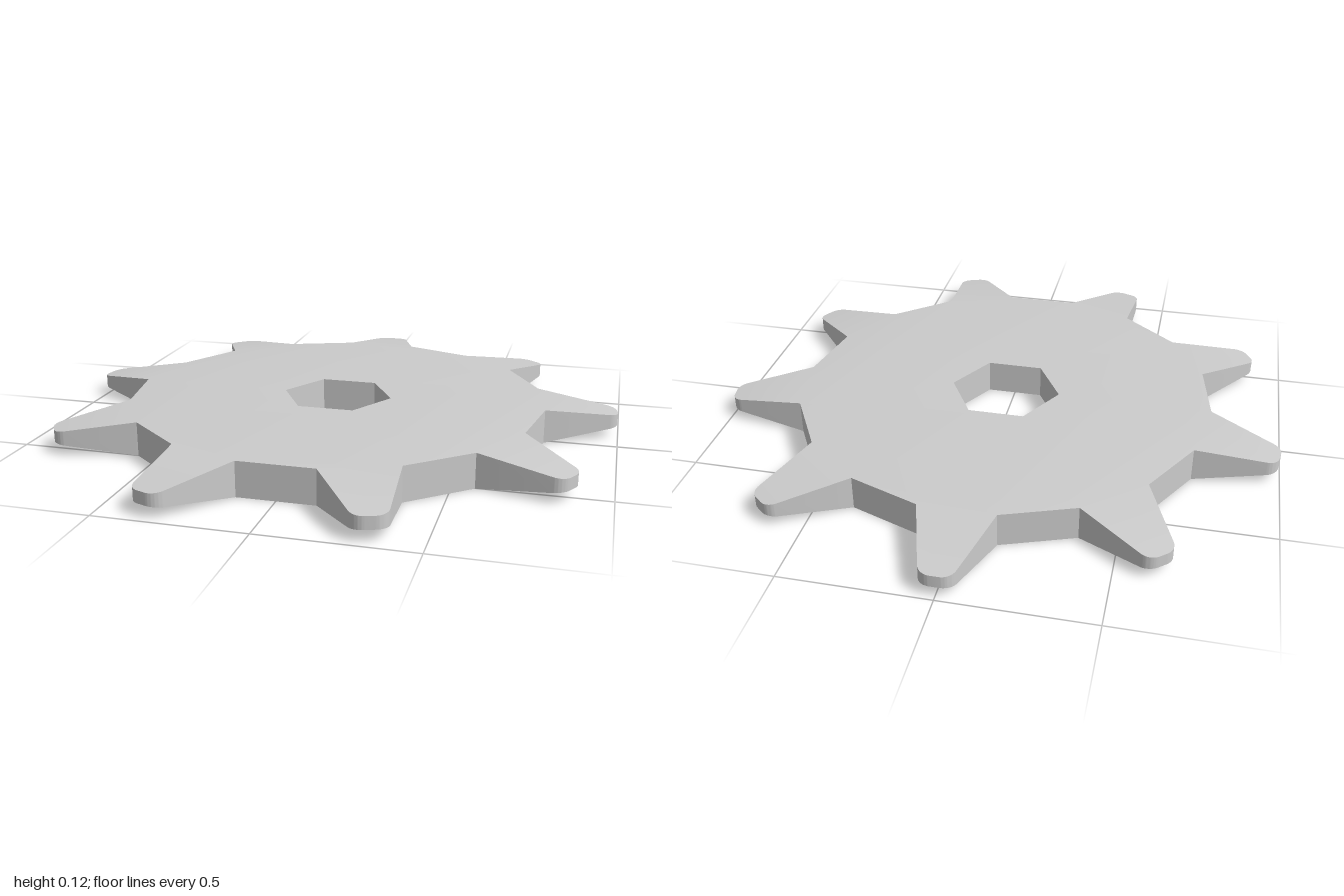
import * as THREE from 'three';
import { mergeGeometries, toCreasedNormals } from 'three/addons/utils/BufferGeometryUtils.js';

const TEETH = 9;
const STEP = (Math.PI * 2) / TEETH;
const THICK = 0.12;
const ROOT = 0.737; // distance from the centre to the flat base of a tooth
const TIP = 1.008;
const HALF_BASE = 0.13;

const ring = (n, r, start) => Array.from({ length: n }, (_, i) => {
  const a = start + (i / n) * Math.PI * 2;
  return new THREE.Vector2(r * Math.cos(a), r * Math.sin(a));
});
const extrude = (shape) =>
  new THREE.ExtrudeGeometry(shape, { depth: THICK, bevelEnabled: false, curveSegments: 8 });

// Eighteen-sided hub with a hexagonal bore
function hubGeometry() {
  const shape = new THREE.Shape(ring(TEETH * 2, Math.hypot(ROOT, HALF_BASE), Math.PI / 2 - STEP / 4));
  shape.holes.push(new THREE.Path(ring(6, 0.198, 0)));
  return extrude(shape);
}

// One tooth along +y: straight flanks, rounded tip, thinning towards the tip
function toothGeometry() {
  const fillet = 0.047, cx = 0.015, cy = TIP - fillet, flank = 0.286;
  const shape = new THREE.Shape();
  shape.moveTo(-HALF_BASE, ROOT);
  shape.lineTo(HALF_BASE, ROOT);
  shape.absarc(cx, cy, fillet, flank, Math.PI / 2, false);
  shape.absarc(-cx, cy, fillet, Math.PI / 2, Math.PI - flank, false);
  shape.closePath();
  const geo = extrude(shape);
  const p = geo.attributes.position;
  for (let i = 0; i < p.count; i++) {
    const t = (p.getY(i) - ROOT) / (TIP - ROOT);
    const scale = 1 - 0.65 * t;
    p.setZ(i, THICK / 2 + (p.getZ(i) - THICK / 2) * scale);
  }
  return geo;
}

// Remove the hidden walls where the teeth meet the hub
function dropInnerWalls(geo) {
  const p = geo.attributes.position;
  const kept = [];
  const onRoot = (i, k) => {
    const a = Math.PI / 2 + k * STEP;
    return Math.abs(p.getX(i) * Math.cos(a) + p.getY(i) * Math.sin(a) - ROOT) < 1e-4;
  };
  for (let i = 0; i < p.count; i += 3) {
    let inner = false;
    for (let k = 0; k < TEETH; k++) {
      if (onRoot(i, k) && onRoot(i + 1, k) && onRoot(i + 2, k)) inner = true;
    }
    if (inner) continue;
    for (let j = i; j < i + 3; j++) kept.push(p.getX(j), p.getY(j), p.getZ(j));
  }
  const out = new THREE.BufferGeometry();
  out.setAttribute('position', new THREE.Float32BufferAttribute(kept, 3));
  return out;
}

export function createModel() {
  const group = new THREE.Group();
  group.name = 'sprocket';

  const parts = [hubGeometry()];
  for (let k = 0; k < TEETH; k++) parts.push(toothGeometry().rotateZ(k * STEP));

  // Lay the wheel flat
  let geo = dropInnerWalls(mergeGeometries(parts));
  geo.rotateX(-Math.PI / 2);
  geo.translate(0, 0, 0.022);
  geo = toCreasedNormals(geo, 0.45);

  const wheel = new THREE.Mesh(geo, new THREE.MeshStandardMaterial({ color: 0xcccccc }));
  wheel.name = 'toothedWheel';
  group.add(wheel);
  return group;
}
